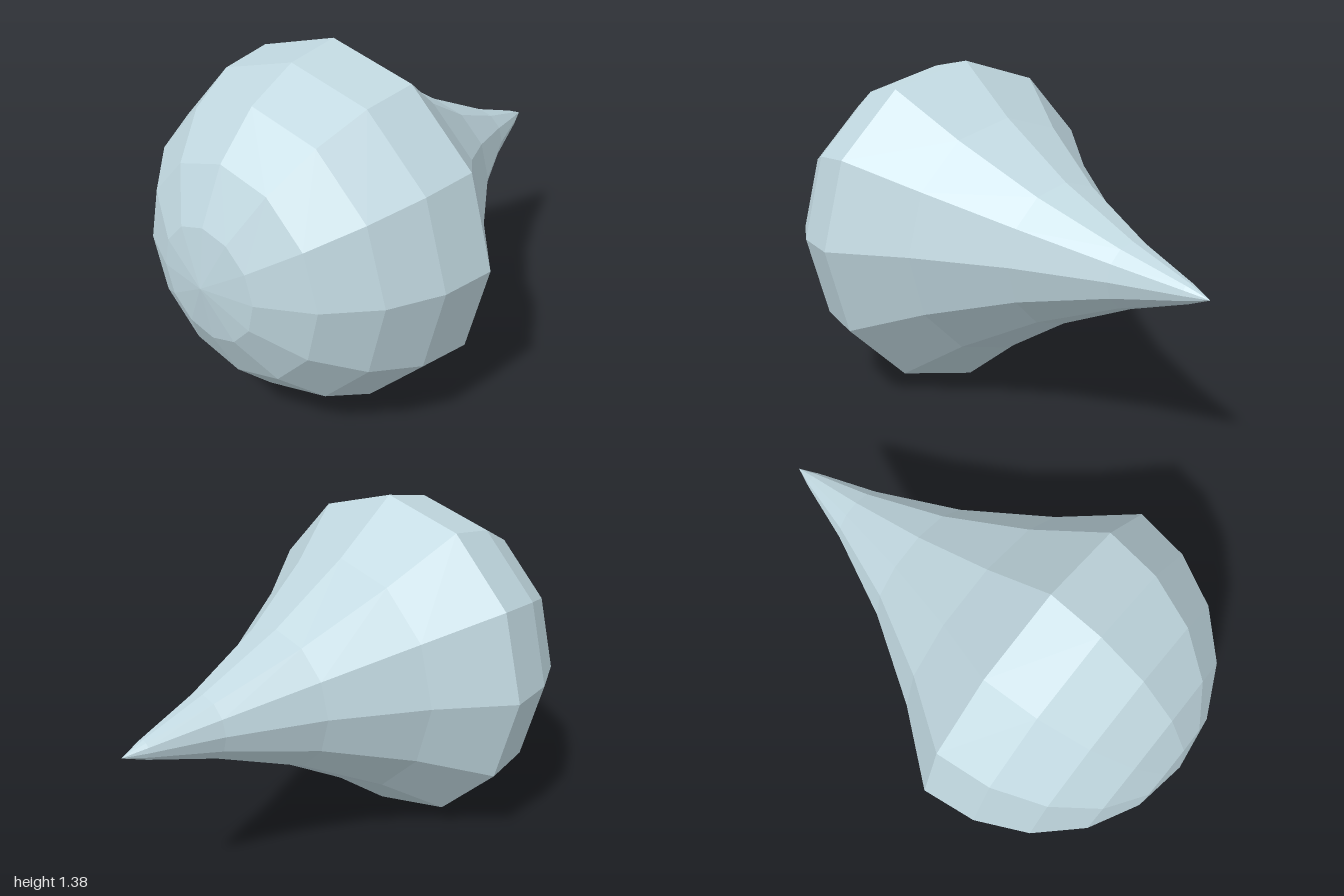
import * as THREE from 'three';

export function createModel() {
  const group = new THREE.Group();
  group.name = 'teardrop';

  const radius = 0.69, centre = 0.31;
  // Concave tail from the pointed tip to the widest ring: radius, position along axis
  const profile = [
    [0, -1], [0.037, -0.91], [0.125, -0.65], [0.28, -0.3], [0.485, 0.04],
  ].map(([r, z]) => new THREE.Vector2(r, z));

  // Hemispherical nose in five even steps
  for (let i = 0; i <= 5; i++) {
    const a = (i / 5) * Math.PI / 2;
    const r = i === 5 ? 0 : radius * Math.cos(a);
    profile.push(new THREE.Vector2(r, centre + radius * Math.sin(a)));
  }

  // Twelve-sided turned body, laid so its nose faces +z
  const geometry = new THREE.LatheGeometry(profile, 12);
  geometry.rotateX(Math.PI / 2);
  geometry.translate(0, radius, 0);

  const material = new THREE.MeshStandardMaterial({ color: 0xbfd6de, flatShading: true });
  const drop = new THREE.Mesh(geometry, material);
  drop.name = 'dropBody';
  group.add(drop);
  return group;
}
